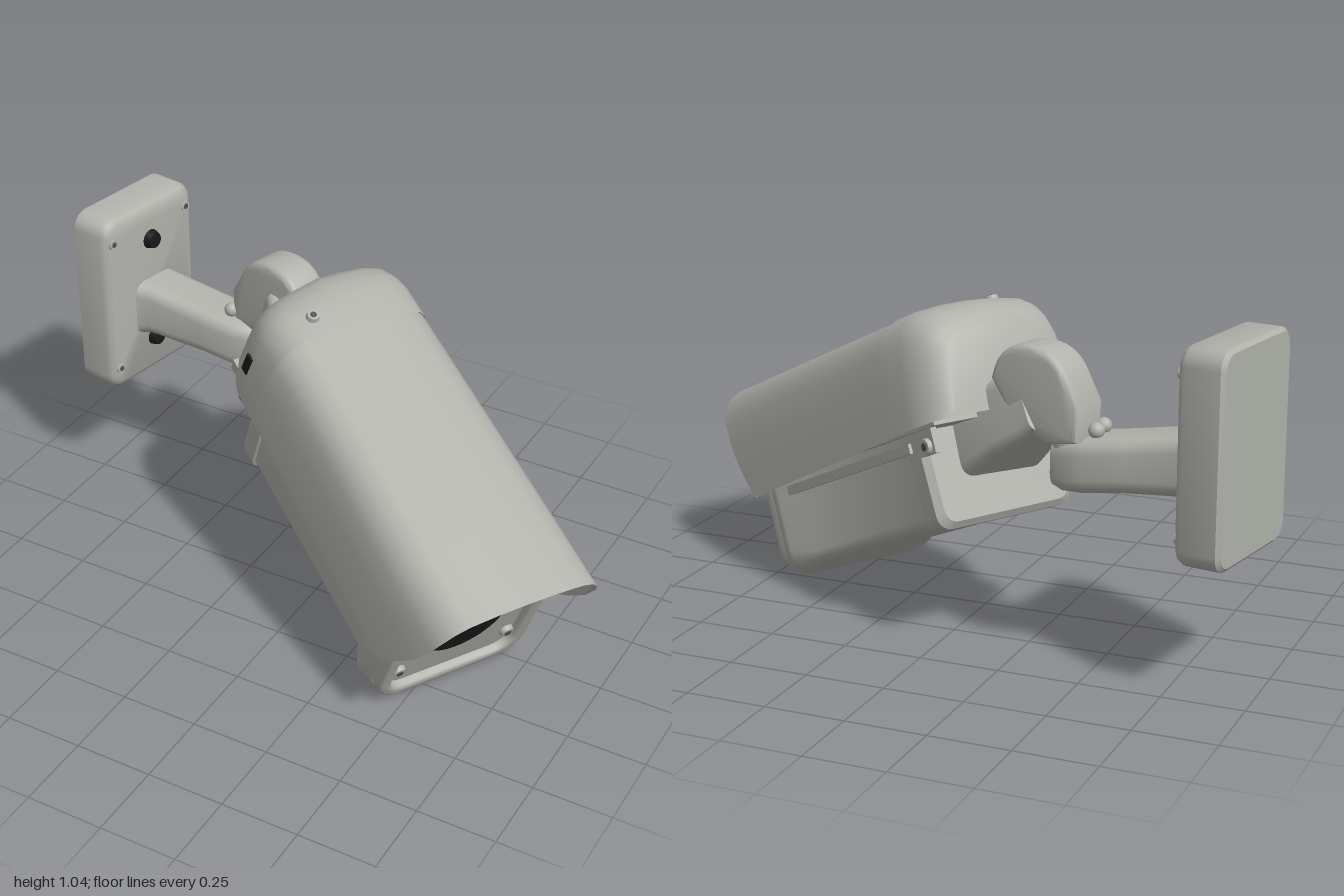
import * as THREE from 'three';
import { toCreasedNormals } from 'three/addons/utils/BufferGeometryUtils.js';

const V = (x, y, z) => new THREE.Vector3(x, y, z);

// Outline of a rounded rectangle, counter-clockwise
function roundRect(hw, hh, r, cy = 0, taper = 0, n = 5) {
  const pts = [];
  [[1, 1], [-1, 1], [-1, -1], [1, -1]].forEach(([sx, sy], q) => {
    for (let i = 0; i <= n; i++) {
      const a = (q + i / n) * Math.PI / 2;
      const y = sy * (hh - r) + r * Math.sin(a);
      const x = sx * (hw - r) + r * Math.cos(a);
      pts.push([x * (1 + taper * y / hh), y + cy]);
    }
  });
  return pts;
}

// Skin over cross-sections running towards +z; each section is a list of Vector3
function loft(sections, { closed = true, caps = [true, true], crease = 0.6 } = {}) {
  const n = sections[0].length, pos = [], idx = [];
  sections.forEach(s => s.forEach(p => pos.push(p.x, p.y, p.z)));
  for (let i = 0; i < sections.length - 1; i++) {
    for (let j = 0; j < (closed ? n : n - 1); j++) {
      const a = i * n + j, b = i * n + (j + 1) % n;
      idx.push(a, b, a + n, b, b + n, a + n);
    }
  }
  const last = (sections.length - 1) * n;
  for (let j = 1; j < n - 1; j++) {
    if (caps[0]) idx.push(0, j + 1, j);
    if (caps[1]) idx.push(last, last + j, last + j + 1);
  }
  const g = new THREE.BufferGeometry();
  g.setAttribute('position', new THREE.Float32BufferAttribute(pos, 3));
  g.setIndex(idx);
  return toCreasedNormals(g, crease);
}

const at = (pts, z) => pts.map(([x, y]) => V(x, y, z));
const toShape = pts => new THREE.Shape(pts.map(p => new THREE.Vector2(...p)));

export function createModel() {
  const grey = new THREE.MeshStandardMaterial({ color: 0xb0b2ab, side: THREE.DoubleSide });
  grey.name = 'painted grey';
  const black = new THREE.MeshStandardMaterial({ color: 0x191919 });
  black.name = 'lens black';
  const dark = new THREE.MeshStandardMaterial({ color: 0x50524d });
  dark.name = 'dark metal';

  const model = new THREE.Group();
  const add = (parent, name, geo, mat = grey, x = 0, y = 0, z = 0) => {
    const m = new THREE.Mesh(geo, mat);
    m.name = name;
    m.position.set(x, y, z);
    parent.add(m);
    return m;
  };
  // Screw facing +z with a hex socket
  const screw = (parent, name, x, y, z, r = 0.024) => {
    const g = new THREE.Group();
    g.name = name;
    g.position.set(x, y, z);
    add(g, 'screwHead', new THREE.CylinderGeometry(r * 0.85, r, 0.016, 20).rotateX(Math.PI / 2));
    add(g, 'screwSocket', new THREE.CylinderGeometry(r * 0.5, r * 0.5, 0.004, 6).rotateX(Math.PI / 2), dark, 0, 0, 0.008);
    parent.add(g);
    return g;
  };

  // Camera head: local +z looks out of the lens, origin at the lens
  const head = new THREE.Group();
  head.name = 'cameraHead';
  const yaw = 31 * Math.PI / 180, pitch = 23.6 * Math.PI / 180;
  const d = V(Math.cos(pitch) * Math.cos(yaw), -Math.sin(pitch), Math.cos(pitch) * Math.sin(yaw));
  const s = V(0, 1, 0).cross(d).normalize();
  head.quaternion.setFromRotationMatrix(new THREE.Matrix4().makeBasis(s, d.clone().cross(s), d));
  head.position.set(0.64, 0.27, 0.225);
  model.add(head);

  // Body, flaring into the front bezel
  const bodyPts = roundRect(0.24, 0.245, 0.04, -0.015, 0.02);
  const flarePts = roundRect(0.28, 0.262, 0.085, -0.02);
  const frontPts = roundRect(0.264, 0.262, 0.09, -0.025);
  add(head, 'body', loft([at(bodyPts, -0.94), at(bodyPts, -0.16), at(flarePts, -0.09), at(flarePts, -0.07), at(frontPts, -0.025)]));
  const rearPts = roundRect(0.25, 0.253, 0.045, -0.015, 0.02);
  const rearIn = roundRect(0.23, 0.235, 0.04, -0.015, 0.02);
  add(head, 'bodyRearCover', loft([at(rearIn, -0.955), at(rearPts, -0.935), at(rearPts, -0.87)]));

  // Bezel ring, front panel and lens
  const ring = toShape(roundRect(0.252, 0.25, 0.09, -0.025));
  ring.holes.push(new THREE.Path(roundRect(0.234, 0.232, 0.075, -0.025).reverse().map(p => new THREE.Vector2(...p))));
  add(head, 'frontBezel', toCreasedNormals(new THREE.ExtrudeGeometry(ring, {
    depth: 0.04, bevelThickness: 0.012, bevelSize: 0.012, bevelSegments: 3,
  }), 0.6), grey, 0, 0, -0.03);
  add(head, 'frontPanel', new THREE.ShapeGeometry(toShape(roundRect(0.24, 0.238, 0.075, -0.025))), grey, 0, 0, -0.006);
  add(head, 'lensRing', new THREE.TorusGeometry(0.136, 0.005, 8, 48), grey, 0, 0, -0.004);
  add(head, 'lens', new THREE.CylinderGeometry(0.134, 0.134, 0.008, 48).rotateX(Math.PI / 2), black, 0, 0, -0.003);
  for (const sx of [-1, 1]) {
    screw(head, 'panelScrew', sx * 0.185, 0.15, 0.003);
    screw(head, 'panelScrew', sx * 0.195, -0.16, 0.003);
    // Side rails under the hood and small hinge lugs
    add(head, 'sideRail', new THREE.BoxGeometry(0.022, 0.03, 0.8), grey, sx * 0.25, -0.01, -0.5);
    const lug = screw(head, 'hingeLug', sx * 0.258, -0.02, -0.99, 0.026);
    lug.rotation.y = sx * Math.PI / 2;
    add(head, 'hingePlate', new THREE.BoxGeometry(0.02, 0.08, 0.11), grey, sx * 0.243, -0.005, -0.97);
  }
  add(head, 'hoodShelf', new THREE.BoxGeometry(0.54, 0.04, 0.95), grey, 0, 0.05, -0.6);

  // Sun hood: arched open section whose front edge sweeps back down the sides
  const half = [[0.315, 0], [0.311, 0.05], [0.306, 0.1], [0.297, 0.18], [0.282, 0.27], [0.265, 0.315], [0.235, 0.35], [0.19, 0.37], [0.1, 0.38]];
  const arch = [...half, [0, 0.383], ...half.map(([x, y]) => [-x, y]).reverse()];
  const hoodAt = (z, k = 1, drop = 0, sweep = 0) => {
    const t = Math.min(1, Math.max(0, -z / 1.1));
    return arch.map(([x, y]) => V(
      x * (1 - 0.07 * t) * k,
      0.04 * t + y * (1 - 0.04 * t / 0.383 - drop),
      z - sweep * (0.383 - y) ** 2));
  };
  const open = { closed: false, caps: [false, false] };
  const rim = hoodAt(0.16, 1, 0, 1.1), innerRim = hoodAt(0.155, 0.97, 0.025, 1.1);
  add(head, 'sunHood', loft([hoodAt(-0.88), hoodAt(-0.45), hoodAt(-0.1), rim], open));
  add(head, 'hoodLining', loft([hoodAt(-0.88, 0.97, 0.025), hoodAt(-0.1, 0.97, 0.025), innerRim], open));
  add(head, 'hoodFrontEdge', loft([innerRim, rim], open));
  // Rear cap, cut shorter on the mount side
  const capAt = (z, k, drop, skew) => hoodAt(z, k, drop).map(p => V(p.x, p.y, z + skew * Math.max(0, -p.x)));
  add(head, 'hoodRearCap', loft([
    capAt(-1.135, 0.78, 0.26, 0.2), capAt(-1.12, 0.87, 0.17, 0.2), capAt(-1.085, 0.95, 0.08, 0.2),
    capAt(-1.035, 1, 0.02, 0.15), capAt(-0.985, 1.012, -0.01, 0.1), capAt(-0.875, 1.012, -0.01, 0),
  ], { closed: false, caps: [true, false], crease: 0.8 }));
  const capScrew = screw(head, 'capScrew', -0.12, 0.386, -0.95, 0.022);
  capScrew.rotation.x = -Math.PI / 2;
  const clip = add(head, 'sideClip', new THREE.BoxGeometry(0.008, 0.07, 0.03), black, -0.284, 0.17, -0.985);
  clip.rotation.z = -0.1;

  // Neck from the body to the knuckle, built in world space along its own axis
  const from = V(-0.1, 0.635, -0.2), to = V(-0.33, 0.8, -0.36);
  const neckLen = from.distanceTo(to);
  const neck = add(model, 'neck', loft([
    at(roundRect(0.15, 0.13, 0.04), 0), at(roundRect(0.125, 0.11, 0.04), neckLen * 0.5),
    at(roundRect(0.085, 0.1, 0.035), neckLen * 0.85), at(roundRect(0.07, 0.09, 0.03), neckLen),
  ]));
  neck.position.copy(from);
  neck.lookAt(to);

  // Knuckle block
  const knuckle = new THREE.Shape();
  knuckle.moveTo(-0.085, -0.085);
  knuckle.lineTo(0.0, -0.1);
  knuckle.lineTo(0.11, -0.05);
  knuckle.lineTo(0.18, 0.05);
  knuckle.quadraticCurveTo(0.16, 0.135, 0.08, 0.14);
  knuckle.quadraticCurveTo(-0.01, 0.145, -0.045, 0.08);
  knuckle.lineTo(-0.09, 0);
  knuckle.closePath();
  const block = add(model, 'knuckle', toCreasedNormals(new THREE.ExtrudeGeometry(knuckle, {
    depth: 0.09, bevelThickness: 0.022, bevelSize: 0.02, bevelSegments: 4, curveSegments: 8,
  }).translate(0, 0, -0.045), 0.8), grey, -0.385, 0.805, -0.372);
  block.rotation.y = -0.26;
  add(model, 'pivot', new THREE.CylinderGeometry(0.055, 0.055, 0.1, 24), grey, -0.425, 0.68, -0.375);
  for (const z of [-0.4, -0.34]) {
    add(model, 'pivotBolt', new THREE.SphereGeometry(0.024, 16, 12), grey, -0.51, 0.735, z);
  }

  // Wall arm, lofted along x
  const armSec = [[-0.84, 0.67, 0.1, 0.1], [-0.8, 0.67, 0.092, 0.09], [-0.6, 0.648, 0.082, 0.09],
    [-0.48, 0.632, 0.082, 0.088], [-0.41, 0.625, 0.08, 0.07], [-0.375, 0.622, 0.07, 0.05]];
  add(model, 'wallArm', loft(armSec.map(([x, y, hh, hw]) => at(roundRect(hw, hh, 0.045, y), x)))
    .rotateY(Math.PI / 2), grey, 0, 0, -0.365);

  // Wall plate with corner screws and black cable plugs, facing local +z
  const wall = new THREE.Group();
  wall.name = 'wallMount';
  wall.position.set(-0.895, 0.725, -0.36);
  wall.rotation.y = Math.PI / 2 - 0.17;
  model.add(wall);
  const plate = (k) => roundRect(0.21 - k, 0.315 - k, 0.055 - k * 0.5);
  add(wall, 'wallPlate', loft([
    at(plate(0.012), -0.073), at(plate(0), -0.062), at(plate(0), 0.045),
    at(plate(0.008), 0.062), at(plate(0.025), 0.073),
  ]));
  for (const sy of [-1, 1]) {
    for (const sx of [-1, 1]) screw(wall, 'plateScrew', sx * 0.172, sy * 0.235, 0.069, 0.02);
    add(wall, 'cablePlug', new THREE.CylinderGeometry(0.026, 0.034, 0.026, 20).rotateX(Math.PI / 2), black, 0, sy * 0.185, 0.083);
  }
  return model;
}
